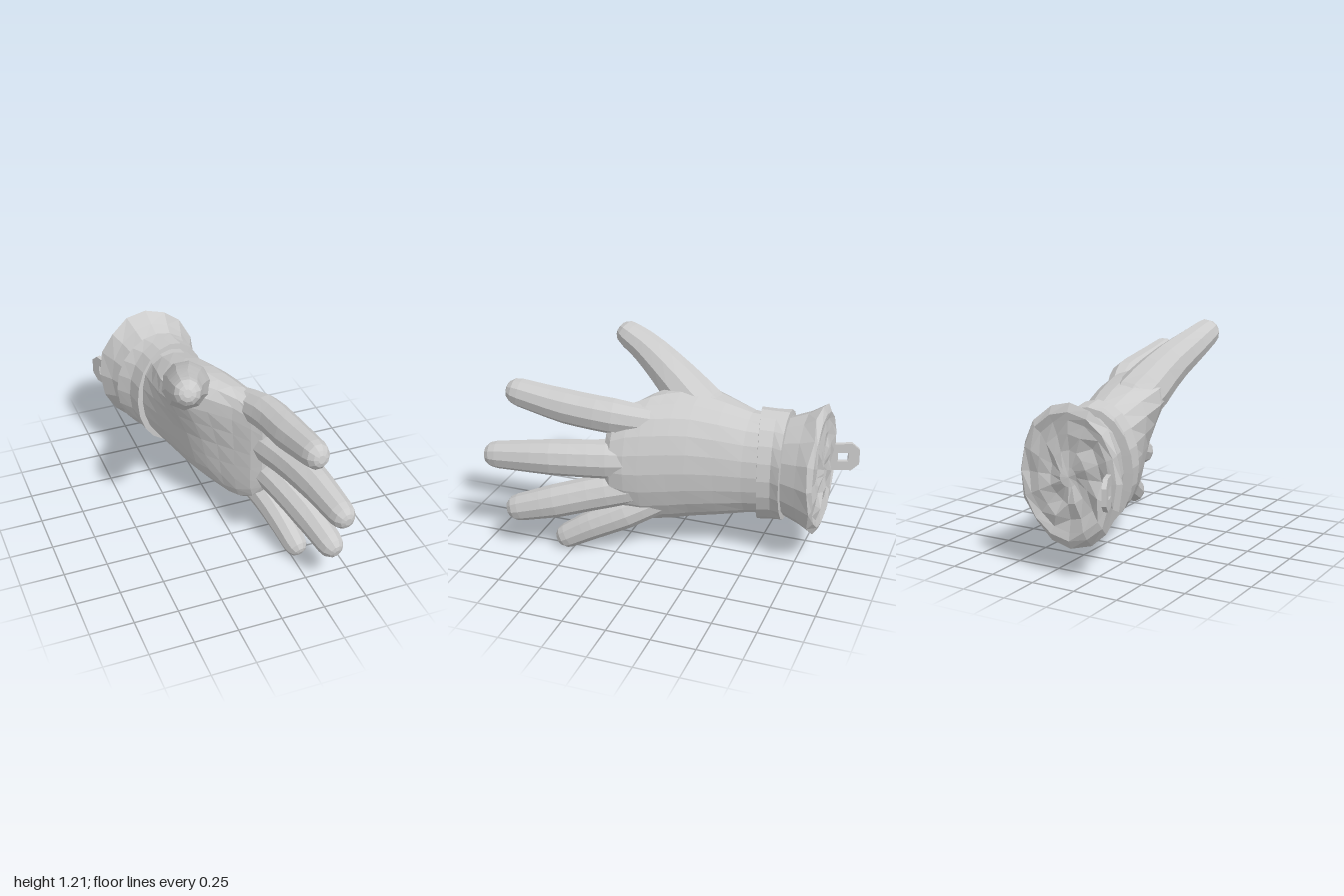
import * as THREE from 'three';

const V = (x, y, z) => new THREE.Vector3(x, y, z);
const material = new THREE.MeshStandardMaterial({ color: 0xcccccc, flatShading: true });

// Skin through closed rings of points, with a fan at both ends
function loft(name, rings) {
  const n = rings[0].length, pos = [], index = [];
  const middle = (ring) => ring.reduce((s, p) => s.add(p), V(0, 0, 0)).divideScalar(n);
  rings.forEach((ring) => ring.forEach((p) => pos.push(p.x, p.y, p.z)));
  const last = rings.length - 1, a0 = rings.length * n, a1 = a0 + 1;
  for (const p of [middle(rings[0]), middle(rings[last])]) pos.push(p.x, p.y, p.z);
  for (let j = 0; j < n; j++) {
    const k = (j + 1) % n;
    index.push(a0, k, j, a1, last * n + j, last * n + k);
    for (let i = 0; i < last; i++) {
      const a = i * n + j, b = i * n + k;
      index.push(a, b, b + n, a, b + n, a + n);
    }
  }
  const geometry = new THREE.BufferGeometry();
  geometry.setAttribute('position', new THREE.Float32BufferAttribute(pos, 3));
  geometry.setIndex(index);
  geometry.computeVertexNormals();
  const mesh = new THREE.Mesh(geometry, material);
  mesh.name = name;
  return mesh;
}

// Oval across the arm; bow bends its ends to -x, tilt leans it along x,
// mound swells the corner below the thumb
function oval({ z, cx, cy = 0.54, rx, ry, bow = 0, tilt = 0, mound = 0, n = 20 }) {
  return Array.from({ length: n }, (_, j) => {
    const a = (j / n) * Math.PI * 2, s = Math.sin(a);
    const swell = mound * Math.exp(-(((a - 2.25) / 0.65) ** 2));
    const x = cx + rx * Math.cos(a) - bow * s * s - swell;
    return V(x, cy + ry * s + 0.25 * swell, z - tilt * (x - cx));
  });
}

// Finger along [x, y, z, radius] stations with a domed tip; width scales it across
function finger(name, stations, width = 0.92, sides = 10, steps = 9) {
  const curve = new THREE.CatmullRomCurve3(stations.map(([x, y, z]) => V(x, y, z)));
  const rings = [];
  const addRing = (center, t, r) => {
    const u = V(1, 0, 0).addScaledVector(t, -t.x).normalize();
    const v = t.clone().cross(u);
    rings.push(Array.from({ length: sides }, (_, j) => {
      const a = (j / sides) * Math.PI * 2;
      return center.clone().addScaledVector(u, width * r * Math.cos(a))
        .addScaledVector(v, r * Math.sin(a));
    }));
  };
  for (let i = 0; i <= steps; i++) {
    const t = i / steps, f = t * (stations.length - 1);
    const k = Math.min(Math.floor(f), stations.length - 2);
    addRing(curve.getPoint(t), curve.getTangent(t),
      THREE.MathUtils.lerp(stations[k][3], stations[k + 1][3], f - k));
  }
  const end = curve.getPoint(1), dir = curve.getTangent(1), r = stations.at(-1)[3];
  for (const [along, size] of [[0.5, 0.88], [0.85, 0.58], [0.97, 0.28]]) {
    addRing(end.clone().addScaledVector(dir, r * along), dir, r * size);
  }
  return loft(name, rings);
}

export function createModel() {
  const glove = new THREE.Group();
  glove.name = 'glove';

  // Palm: round wrist widening to flat, bowed knuckles, swollen toward the thumb
  glove.add(loft('palm', [
    [-0.62, -0.11, 0.54, 0.19, 0.29, 0, 0],
    [-0.45, -0.085, 0.54, 0.2, 0.305, 0, 0.02],
    [-0.3, -0.04, 0.55, 0.2, 0.335, 0, 0.09],
    [-0.15, 0.015, 0.555, 0.195, 0.36, 0.02, 0.16],
    [-0.05, 0.055, 0.55, 0.185, 0.37, 0.025, 0.185],
    [0.03, 0.095, 0.545, 0.17, 0.37, 0.035, 0.16],
    [0.1, 0.135, 0.54, 0.15, 0.37, 0.05, 0.1],
    [0.18, 0.175, 0.54, 0.13, 0.35, 0.065, 0.025],
    [0.26, 0.21, 0.54, 0.1, 0.3, 0.06, 0],
    [0.3, 0.22, 0.55, 0.055, 0.23, 0.04, 0],
  ].map(([z, cx, cy, rx, ry, bow, mound]) => oval({ z, cx, cy, rx, ry, bow, mound }))));

  // Thumb and fingers, rooted inside the palm
  glove.add(
    finger('thumb', [[-0.09, 0.68, -0.38, 0.09], [-0.13, 0.82, -0.13, 0.15],
      [-0.195, 0.965, 0.065, 0.12], [-0.268, 1.075, 0.25, 0.094], [-0.295, 1.125, 0.355, 0.08]], 1),
    finger('indexFinger', [[0.08, 0.78, 0, 0.08], [0.182, 0.83, 0.28, 0.102],
      [0.21, 0.86, 0.55, 0.1], [0.228, 0.91, 0.82, 0.082]]),
    finger('middleFinger', [[0.14, 0.58, 0.05, 0.1], [0.238, 0.585, 0.3, 0.113],
      [0.312, 0.58, 0.6, 0.104], [0.35, 0.56, 0.92, 0.08]]),
    finger('ringFinger', [[0.14, 0.43, 0.03, 0.09], [0.24, 0.385, 0.3, 0.1],
      [0.322, 0.31, 0.58, 0.097], [0.362, 0.25, 0.79, 0.08]]),
    finger('littleFinger', [[0.09, 0.35, -0.04, 0.08], [0.195, 0.24, 0.2, 0.092],
      [0.245, 0.155, 0.38, 0.086], [0.275, 0.07, 0.53, 0.074]]),
  );

  // Wrist band: waisted strap that leans across the wrist
  glove.add(loft('wristBand', [
    { z: -0.66, cx: -0.125, rx: 0.2, ry: 0.28, tilt: 0.06 },
    { z: -0.655, cx: -0.125, rx: 0.265, ry: 0.325, tilt: 0.06 },
    { z: -0.59, cx: -0.11, rx: 0.225, ry: 0.33, tilt: 0.12 },
    { z: -0.5, cx: -0.095, rx: 0.225, ry: 0.335, tilt: 0.2 },
    { z: -0.495, cx: -0.095, rx: 0.17, ry: 0.28, tilt: 0.2 },
  ].map(oval)));

  // Flared cuff, closed at the back by a lumpy lining
  const cuffRing = (z, cx, rx, ry) => oval({ z, cx, rx, ry, n: 16 });
  const lining = [0.15, 0.4, 0.65, 0.85].map((f) => {
    const ring = cuffRing(-0.855, -0.135, 0.29 * f, 0.35 * f);
    ring.forEach((p) => { p.z += 0.018 * Math.sin(31 * p.x + 9 * p.y) * Math.cos(27 * p.y - 11 * p.x); });
    return ring;
  });
  const edge = cuffRing(-0.837, -0.135, 0.305, 0.385);
  edge.forEach((p, j) => { p.z += 0.012 * Math.sin(j * 2.4); });
  glove.add(loft('cuff', [
    ...lining,
    cuffRing(-0.862, -0.135, 0.285, 0.34),
    edge,
    cuffRing(-0.76, -0.125, 0.262, 0.335),
    cuffRing(-0.66, -0.12, 0.222, 0.295),
    cuffRing(-0.58, -0.11, 0.2, 0.28),
  ]));

  // Hanging loop at the outer edge of the cuff
  const outline = [[-0.02, -0.08], [0.115, -0.085], [0.16, -0.045],
    [0.16, 0.045], [0.115, 0.085], [-0.02, 0.08]];
  const opening = [[0.035, -0.028], [0.035, 0.028], [0.095, 0.028], [0.095, -0.028]];
  const toPoints = (list) => list.map(([x, y]) => new THREE.Vector2(x, y));
  const shape = new THREE.Shape(toPoints(outline));
  shape.holes.push(new THREE.Path(toPoints(opening)));
  const loop = new THREE.Mesh(
    new THREE.ExtrudeGeometry(shape, { depth: 0.025, bevelEnabled: false }), material);
  loop.name = 'hangingLoop';
  loop.position.set(-0.385, 0.51, -0.845);
  loop.rotation.y = 1.93;
  glove.add(loop);

  return glove;
}
